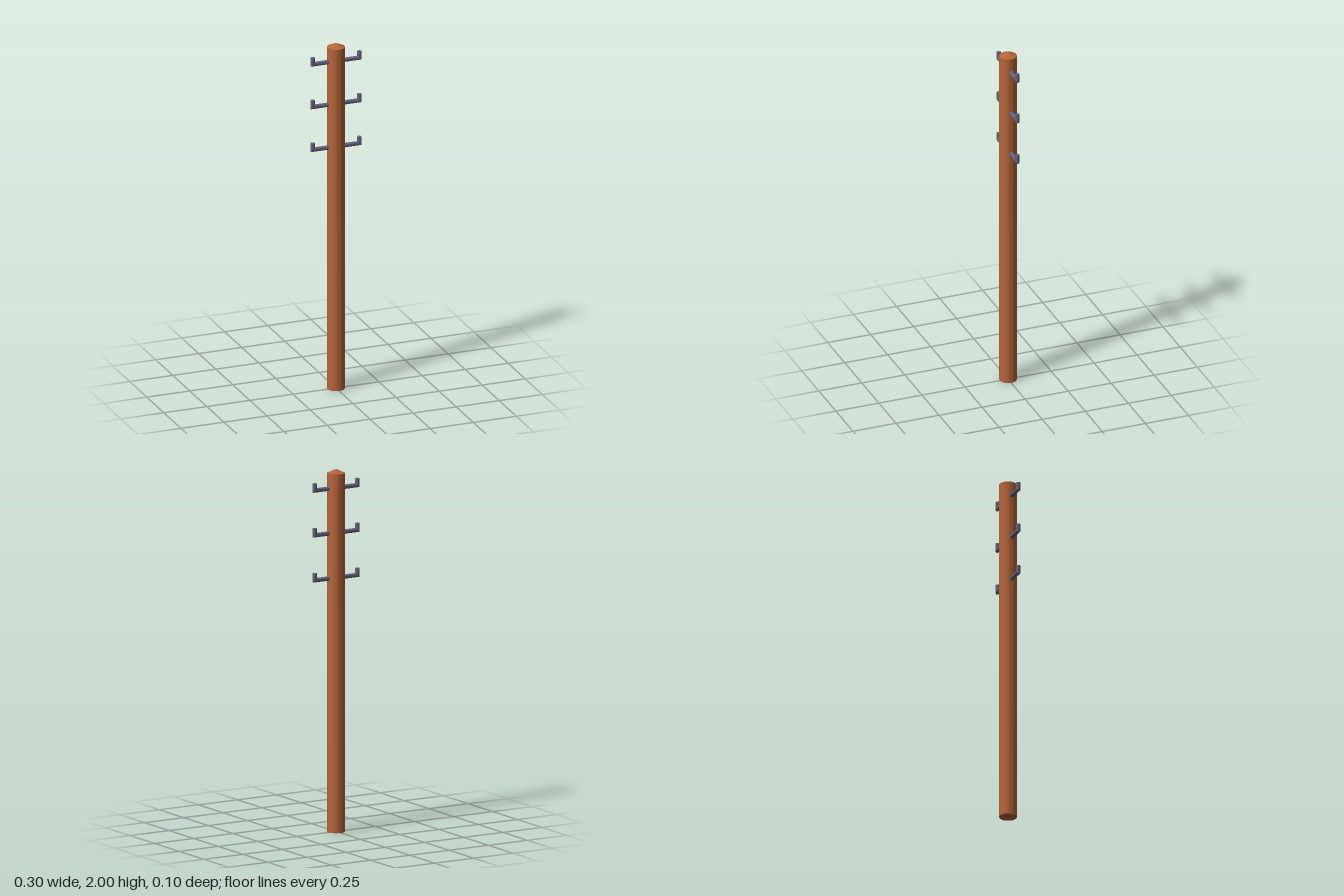
import * as THREE from 'three';
import { toCreasedNormals } from 'three/addons/utils/BufferGeometryUtils.js';

const POLE_R = 0.048;
const PEG_R = 0.012;
const PEG_X = 0.136;    // centre line of the upturned tip
const TIP_RISE = 0.038; // tip height above the peg's centre line

// Round bar running out along +x, with a mitred corner and an upturned tip
function pegGeometry() {
  const geo = new THREE.CylinderGeometry(PEG_R, PEG_R, 2, 20, 2);
  const pos = geo.attributes.position;
  for (let i = 0; i < pos.count; i++) {
    const ring = Math.round(pos.getY(i)); // -1 root, 0 corner, 1 tip
    const u = pos.getX(i), z = pos.getZ(i);
    if (ring < 0) pos.setXYZ(i, 0.03, -u, z);
    else if (ring === 0) pos.setXYZ(i, PEG_X + u, -u, z);
    else pos.setXYZ(i, PEG_X + u, TIP_RISE, z);
  }
  return toCreasedNormals(geo, 0.7);
}

export function createModel() {
  const model = new THREE.Group();
  const wood = new THREE.MeshStandardMaterial({ color: 0xb5653a });
  const metal = new THREE.MeshStandardMaterial({ color: 0x66627a });

  // Round post with a narrow ledge and a shallow pointed cap
  const profile = [
    [0, 0], [POLE_R, 0], [POLE_R, 1.977], [0.044, 1.978], [0, 2],
  ].map(([r, y]) => new THREE.Vector2(r, y));
  const pole = new THREE.Mesh(toCreasedNormals(new THREE.LatheGeometry(profile, 40), 0.35), wood);
  pole.name = 'pole';
  model.add(pole);

  // Three pairs of hooked pegs
  const geo = pegGeometry();
  [1.4, 1.648, 1.895].forEach((y, i) => {
    for (const side of ['left', 'right']) {
      const peg = new THREE.Mesh(geo, metal);
      peg.name = `${side}Peg${i + 1}`;
      peg.position.y = y;
      if (side === 'right') peg.rotation.y = Math.PI;
      model.add(peg);
    }
  });
  return model;
}
